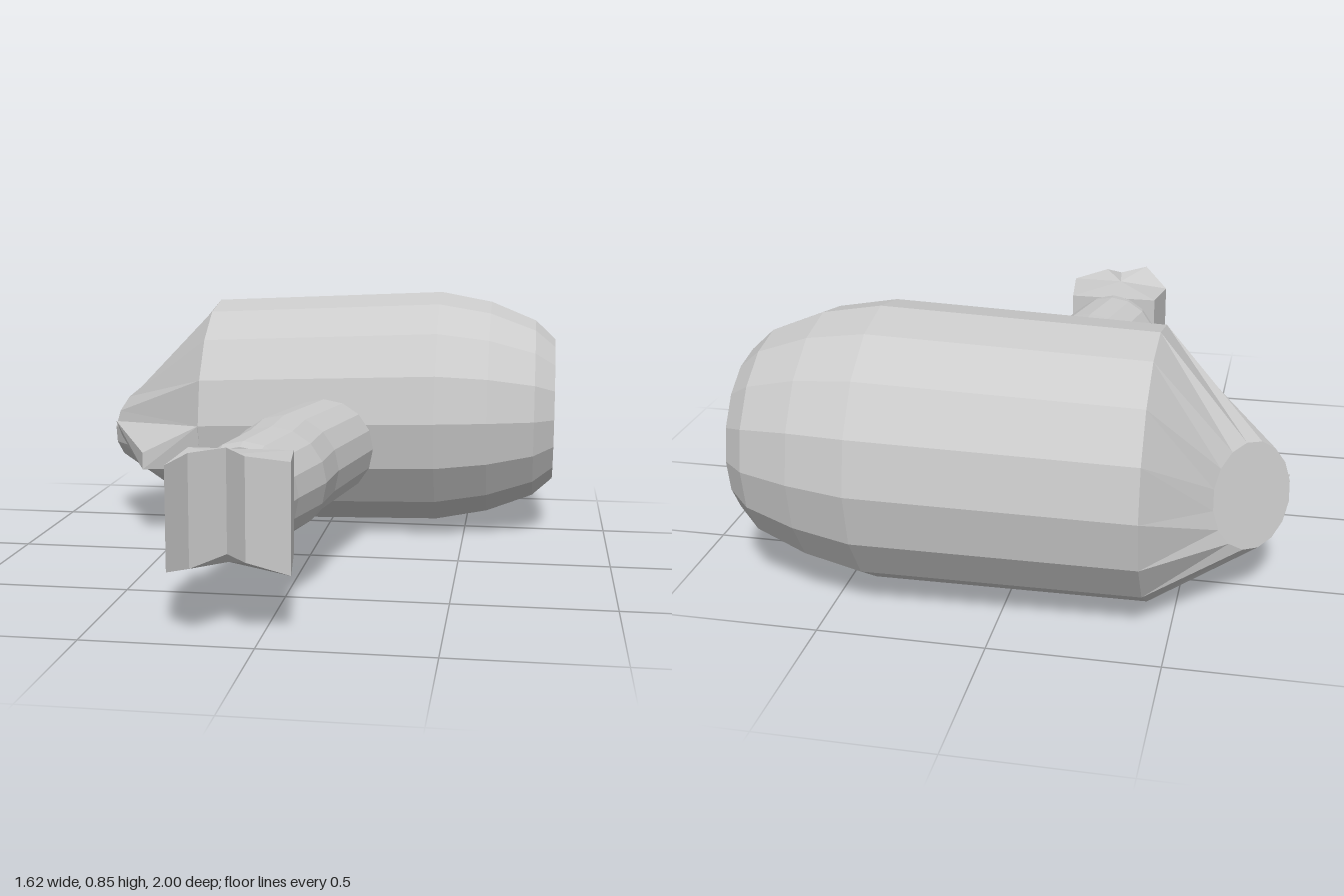
import * as THREE from 'three';
import { ConvexGeometry } from 'three/addons/geometries/ConvexGeometry.js';

const SIDES = 16;
const V = (x, y, z) => new THREE.Vector3(x, y, z);
const material = new THREE.MeshStandardMaterial({ color: 0xcccccc, flatShading: true });

function addMesh(group, name, geometry) {
  const mesh = new THREE.Mesh(geometry, material);
  mesh.name = name;
  group.add(mesh);
}

// Ring of points around a centre, spanned by two axes
function ring(center, u, v, radius) {
  return Array.from({ length: SIDES }, (_, i) => {
    const a = (i / SIDES) * Math.PI * 2;
    return center.clone()
      .addScaledVector(u, radius * Math.cos(a))
      .addScaledVector(v, radius * Math.sin(a));
  });
}

// Skin a series of rings and close both ends around their centroids
function loft(rings) {
  const pos = [];
  const tri = (...pts) => pts.forEach((p) => pos.push(p.x, p.y, p.z));
  const n = rings[0].length;
  const mid = (r) => r.reduce((s, p) => s.add(p), V(0, 0, 0)).divideScalar(n);
  const first = rings[0], last = rings[rings.length - 1];
  const c0 = mid(first), c1 = mid(last);
  for (let j = 0; j < n; j++) {
    const k = (j + 1) % n;
    for (let i = 0; i < rings.length - 1; i++) {
      const a = rings[i], b = rings[i + 1];
      tri(a[j], a[k], b[k]);
      tri(a[j], b[k], b[j]);
    }
    tri(c0, first[k], first[j]);
    tri(c1, last[j], last[k]);
  }
  const geometry = new THREE.BufferGeometry();
  geometry.setAttribute('position', new THREE.Float32BufferAttribute(pos, 3));
  geometry.computeVertexNormals();
  return geometry;
}

export function createModel() {
  const group = new THREE.Group();
  const X = V(1, 0, 0), Y = V(0, 1, 0), Z = V(0, 0, 1);

  // Barrel with a skewed nose that ends in a tilted flat disc
  const noseUp = V(0.15, 0.98, 0.13).normalize();
  const noseFront = V(-0.644, 0, 0.766).normalize();
  const barrel = [
    [-0.42, 0.414, -0.552, 0.409],
    [0.40, 0.438, -0.579, 0.421],
    [0.58, 0.440, -0.575, 0.386],
    [0.74, 0.438, -0.577, 0.322],
    [0.81, 0.437, -0.577, 0.257],
  ].map(([x, y, z, r]) => ring(V(x, y, z), Y, Z, r));
  const noseDisc = ring(V(-0.705, 0.35, -0.585), noseUp, noseFront, 0.16);
  addMesh(group, 'barrel', loft([noseDisc, ...barrel]));

  // Pointed wedge on the front of the nose
  addMesh(group, 'noseWedge', new ConvexGeometry([
    V(-0.42, 0.414, -0.145), V(-0.42, 0.26, -0.172),
    V(-0.62, 0.315, -0.14), V(-0.62, 0.255, -0.14),
    V(-0.808, 0.37, -0.463), V(-0.79, 0.32, -0.465),
    V(-0.5, 0.35, -0.4),
  ]));

  // Slightly bent arm with a rounded root
  const arm = [
    [0.04, -0.22, 0.10],
    [0.04, -0.185, 0.145],
    [0.027, -0.13, 0.17],
    [-0.045, 0.25, 0.175],
    [-0.052, 0.44, 0.17],
    [-0.095, 0.66, 0.163],
    [-0.095, 0.71, 0.155],
  ].map(([x, z, r]) => ring(V(x, 0.352, z), X, Y, r));
  addMesh(group, 'arm', loft(arm));

  // Notched hand: x, z, bottom and top of each upright edge
  const outline = [
    [0.085, 0.90, 0.185, 0.505],
    [0.06, 0.70, 0.20, 0.50],
    [-0.25, 0.70, 0.20, 0.50],
    [-0.27, 0.90, 0.18, 0.485],
    [-0.18, 0.995, 0.22, 0.54],
    [-0.095, 0.90, 0.24, 0.54],
    [-0.03, 0.965, 0.235, 0.53],
  ];
  addMesh(group, 'hand', loft([
    outline.map(([x, z, low]) => V(x, low, z)),
    outline.map(([x, z, , high]) => V(x, high, z)),
  ]));

  return group;
}
